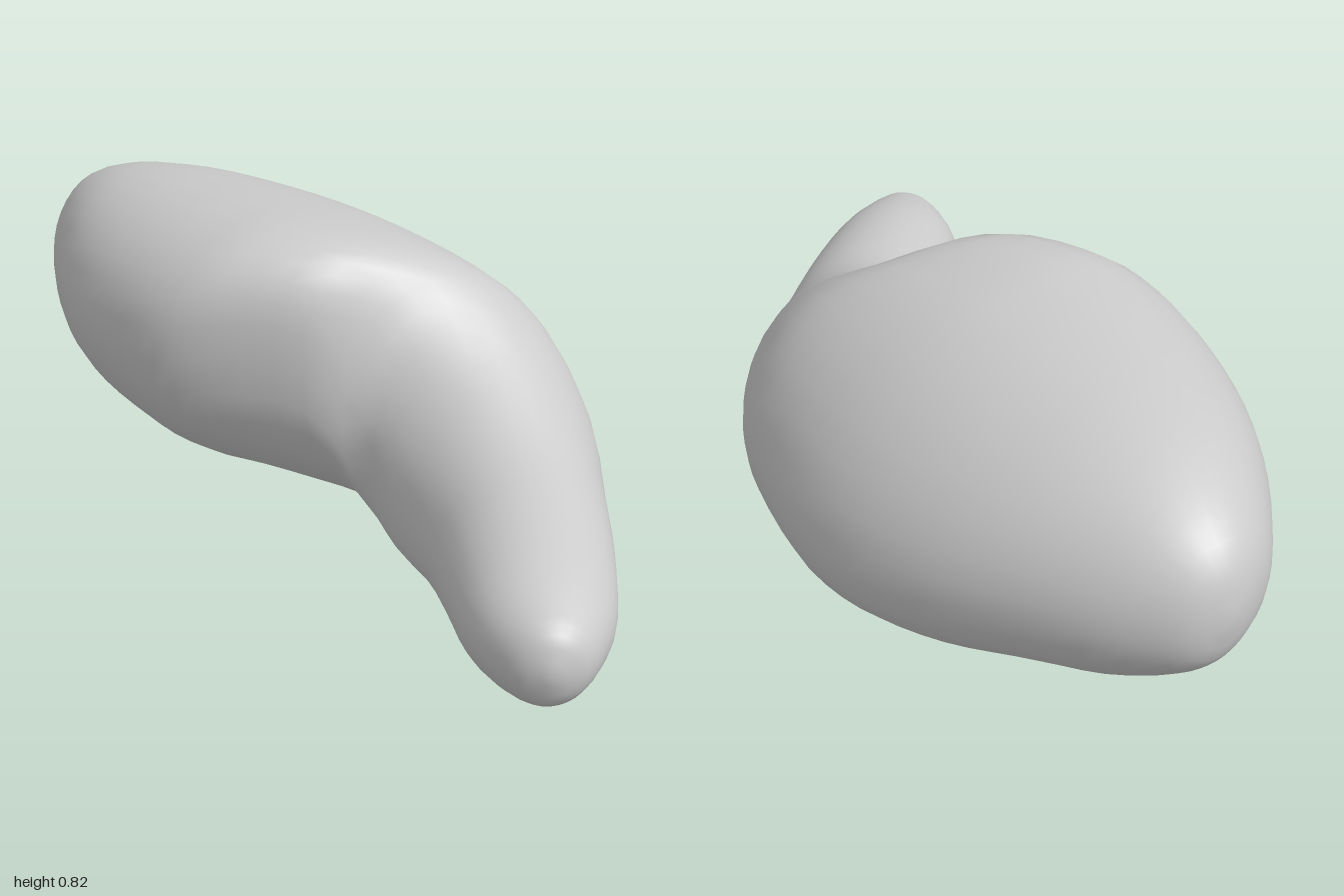
import * as THREE from 'three';
import { mergeVertices } from 'three/addons/utils/BufferGeometryUtils.js';

// Cross-sections from the narrow front end to the broad back end:
// inner edge [x, y, z], outer edge [x, y, z], middle [bottom y, top y]
const SECTIONS = [
  [[0.56, 0.19, 1.0], [0.56, 0.19, 1.0], [0.19, 0.19]],
  [[0.48, 0.19, 0.98], [0.64, 0.19, 0.96], [0.1, 0.28]],
  [[0.42, 0.19, 0.92], [0.69, 0.19, 0.87], [0.06, 0.315]],
  [[0.36, 0.19, 0.8], [0.725, 0.19, 0.74], [0.035, 0.35]],
  [[0.32, 0.18, 0.6], [0.74, 0.2, 0.5], [0.015, 0.39]],
  [[0.28, 0.17, 0.42], [0.74, 0.2, 0.25], [0.0, 0.44]],
  [[0.2, 0.19, 0.25], [0.735, 0.22, 0.0], [0.005, 0.55]],
  [[0.12, 0.3, 0.14], [0.685, 0.24, -0.2], [0.015, 0.67]],
  [[-0.02, 0.51, 0.13], [0.6, 0.26, -0.37], [0.02, 0.745]],
  [[-0.25, 0.53, 0.09], [0.43, 0.27, -0.6], [0.045, 0.785]],
  [[-0.4, 0.5, 0.03], [0.25, 0.3, -0.76], [0.065, 0.795]],
  [[-0.52, 0.49, -0.1], [0.05, 0.35, -0.87], [0.095, 0.79]],
  [[-0.63, 0.48, -0.28], [-0.15, 0.4, -0.94], [0.145, 0.775]],
  [[-0.7, 0.48, -0.48], [-0.35, 0.43, -0.99], [0.2, 0.74]],
  [[-0.74, 0.48, -0.72], [-0.49, 0.45, -1.0], [0.28, 0.675]],
  [[-0.72, 0.48, -0.85], [-0.6, 0.46, -0.985], [0.36, 0.59]],
  [[-0.68, 0.475, -0.93], [-0.68, 0.475, -0.93], [0.475, 0.475]],
];

const AROUND = 32;
const ROWS = (SECTIONS.length - 1) * 3;

// Smooth curve through one column of the sections
function curveThrough(column) {
  const points = SECTIONS.map((section) => new THREE.Vector3(0, 0, 0).fromArray([...section[column], 0]));
  return new THREE.CatmullRomCurve3(points, false, 'catmullrom', 0.5);
}

// Sine or cosine bent by an exponent: below 1 gives a fuller section
const bend = (v, power) => Math.sign(v) * Math.pow(Math.abs(v), power);

function bodyGeometry() {
  const [inner, outer, middle] = [0, 1, 2].map(curveThrough);
  const positions = [];
  const index = [];

  for (let i = 0; i <= ROWS; i++) {
    const t = i / ROWS;
    const a = inner.getPoint(t);
    const b = outer.getPoint(t);
    const { x: low, y: high } = middle.getPoint(t);
    const midY = (low + high) / 2;
    const tilt = (a.y - b.y) / 2;
    const bow = (a.y + b.y) / 2 - midY;
    // The inner half is fullest at the bend
    const innerPower = 1 - 0.2 * Math.exp(-(((t - 0.52) / 0.16) ** 2));
    for (let j = 0; j < AROUND; j++) {
      const angle = (j / AROUND) * Math.PI * 2;
      const power = Math.cos(angle) > 0 ? innerPower : 1;
      const u = bend(Math.cos(angle), power);
      const v = bend(Math.sin(angle), power);
      positions.push(
        (a.x + b.x) / 2 + (u * (a.x - b.x)) / 2,
        Math.max(0, midY + (v * (high - low)) / 2 + u * tilt + u * u * bow),
        (a.z + b.z) / 2 + (u * (a.z - b.z)) / 2
      );
      if (i < ROWS) {
        const p = i * AROUND + j;
        const q = i * AROUND + ((j + 1) % AROUND);
        index.push(p, q, p + AROUND, q, q + AROUND, p + AROUND);
      }
    }
  }

  const geometry = new THREE.BufferGeometry();
  geometry.setAttribute('position', new THREE.Float32BufferAttribute(positions, 3));
  geometry.setIndex(index);
  const welded = mergeVertices(geometry, 1e-4);
  welded.computeVertexNormals();
  return welded;
}

export function createModel() {
  const model = new THREE.Group();
  // One smooth curved body, broad at the back and tapering to the front
  const body = new THREE.Mesh(bodyGeometry(), new THREE.MeshStandardMaterial({ color: 0xcccccc }));
  body.name = 'curvedBody';
  model.add(body);
  return model;
}
